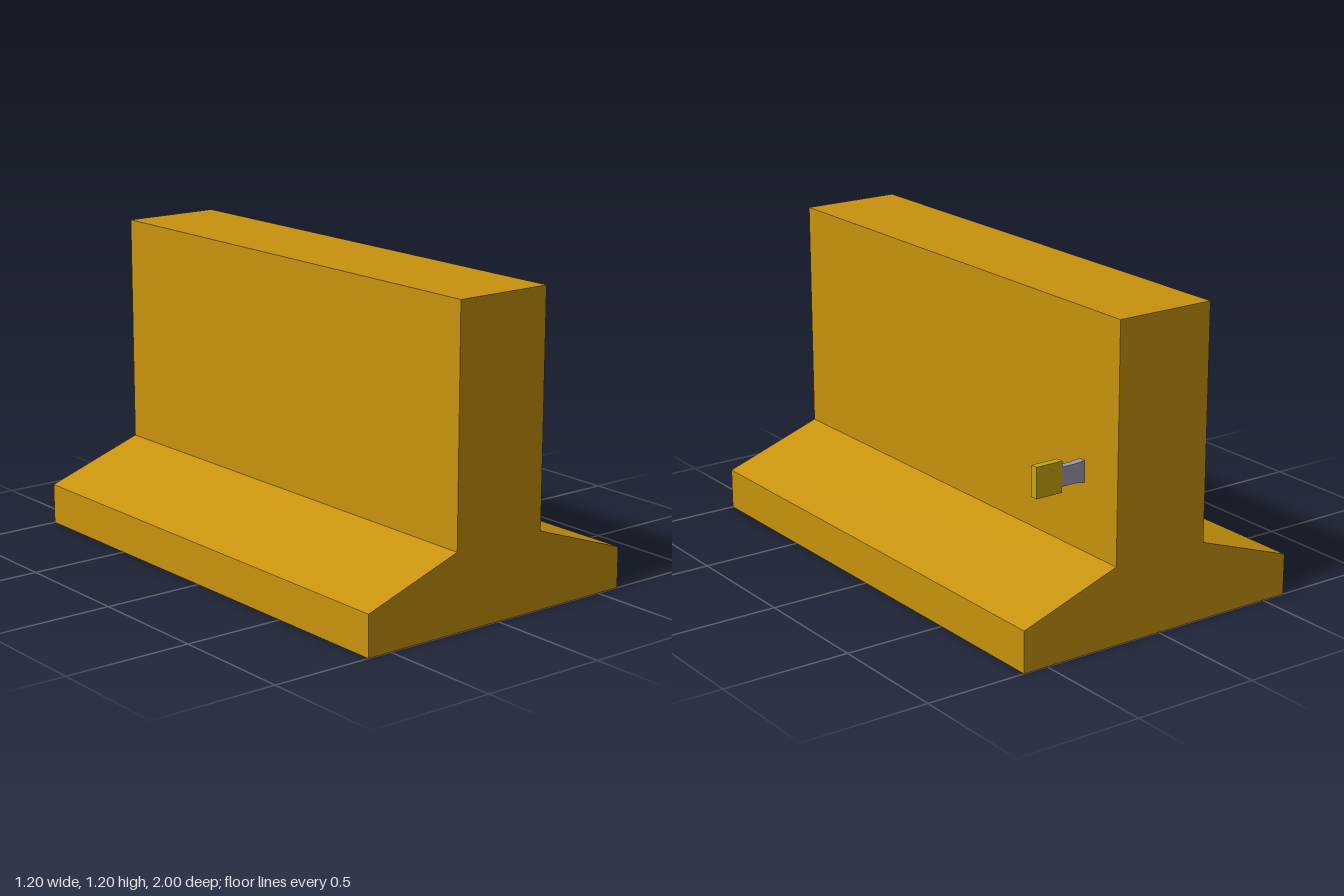
import * as THREE from 'three';

const material = (name, color) => {
  const m = new THREE.MeshStandardMaterial({ color });
  m.name = name;
  return m;
};

// Extrudes a front-facing outline along z, centred on zMid.
function slab(name, points, depth, zMid, mat) {
  const shape = new THREE.Shape(points.map(([x, y]) => new THREE.Vector2(x, y)));
  const geometry = new THREE.ExtrudeGeometry(shape, { depth, bevelEnabled: false });
  geometry.translate(0, 0, zMid - depth / 2);
  const mesh = new THREE.Mesh(geometry, mat);
  mesh.name = name;
  return mesh;
}

export function createModel() {
  const ochre = material('ochre', 0xc8930d);
  const grey = material('lavender grey', 0x9d99b3);
  const yellow = material('yellow', 0xc8a60e);

  const model = new THREE.Group();
  model.name = 'barrier';

  // Wall with a flared foot: right half of the outline, mirrored
  const half = [[0.6, 0], [0.6, 0.16], [0.2, 0.3], [0.2, 1.2]];
  const outline = [...half, ...half.map(([x, y]) => [-x, y]).reverse()];
  model.add(slab('barrierWall', outline, 2, 0, ochre));

  // Small side marker: stepped bracket and plate
  const marker = new THREE.Group();
  marker.name = 'sideMarker';
  const bracket = [[0.2, 0.56], [0.245, 0.565], [0.3, 0.565], [0.3, 0.638], [0.245, 0.638], [0.2, 0.642]];
  marker.add(slab('markerBracket', bracket, 0.028, -0.8, grey));
  const plate = new THREE.Mesh(new THREE.BoxGeometry(0.112, 0.118, 0.03), yellow);
  plate.name = 'markerPlate';
  plate.position.set(0.355, 0.602, -0.8);
  marker.add(plate);
  model.add(marker);

  return model;
}
